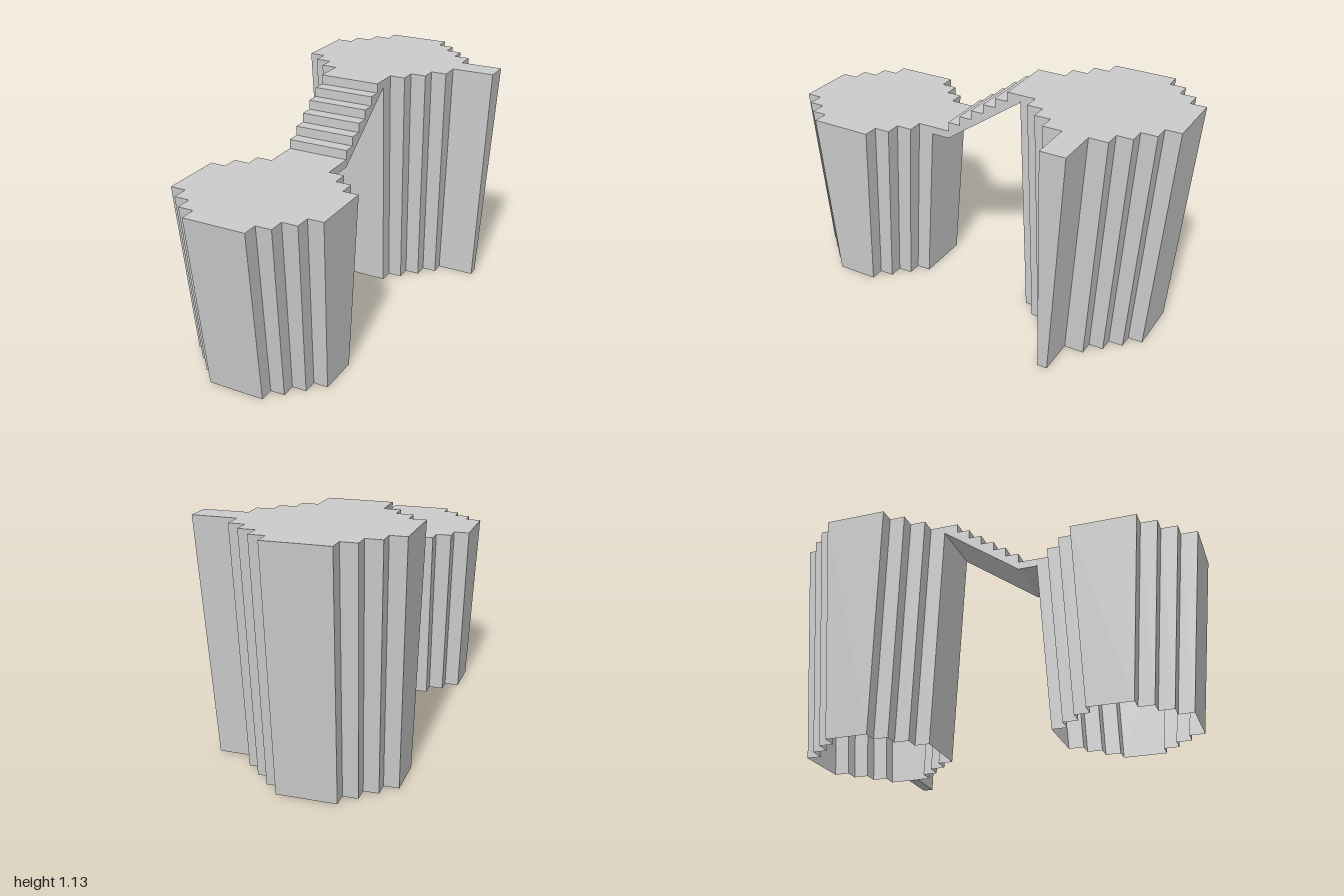
import * as THREE from 'three';

const material = new THREE.MeshStandardMaterial({ color: 0xcccccc, flatShading: true, side: THREE.DoubleSide });

// Edge positions of a stepped outline: a core span with three equal steps on each side
const spans = (center, half, step) =>
  [-3, -2, -1, 0].map(i => center - half + i * step)
    .concat([0, 1, 2, 3].map(i => center + half + i * step));

// Stepped round outline in x/z, from eight x edges and eight z edges
function steppedOutline(xs, zs) {
  const right = [], left = [];
  for (let row = 0; row < 7; row++) {
    const k = row <= 3 ? row : 6 - row;
    right.push([xs[4 + k], zs[row]], [xs[4 + k], zs[row + 1]]);
    left.push([xs[3 - k], zs[row]], [xs[3 - k], zs[row + 1]]);
  }
  return right.concat(left.reverse());
}

// Prism between a bottom outline at y = 0 and a matching top outline at y = height
function loft(name, bottom, top, height, closedBottom) {
  const positions = [];
  const b = i => positions.push(bottom[i][0], 0, bottom[i][1]);
  const t = i => positions.push(top[i][0], height, top[i][1]);
  for (let i = 0; i < top.length; i++) {
    const j = (i + 1) % top.length;
    b(i); t(i); t(j);
    b(i); t(j); b(j);
  }
  const faces = THREE.ShapeUtils.triangulateShape(top.map(p => new THREE.Vector2(p[0], p[1])), []);
  for (const [i, j, k] of faces) {
    t(i); t(k); t(j);
    if (closedBottom) { b(i); b(j); b(k); }
  }
  const geometry = new THREE.BufferGeometry();
  geometry.setAttribute('position', new THREE.Float32BufferAttribute(positions, 3));
  geometry.computeVertexNormals();
  const mesh = new THREE.Mesh(geometry, material);
  mesh.name = name;
  return mesh;
}

// Hollow tower with an open foot, tapering more in z than in x
function tower(name, side, height) {
  const bottom = steppedOutline(spans(-0.102, 0.138, 0.07), spans(side * 0.602, 0.102, 0.07));
  const top = steppedOutline(spans(-0.105, 0.152, 0.0765), spans(side * 0.618, 0.152, 0.0765));
  return loft(name, bottom, top, height, false);
}

const rect = (x0, x1, z0, z1) => [[x1, z0], [x1, z1], [x0, z1], [x0, z0]];

// Solid stair flight: stepped top, sloping underside
function stairs(low, high) {
  const count = 6, firstZ = 0.147, run = 0.0635, rise = (high - low) / count;
  const shape = new THREE.Shape();
  shape.moveTo(-0.238, low - 0.038);
  shape.lineTo(-firstZ, low - 0.038);
  shape.lineTo(0.238, high - 0.037);
  shape.lineTo(0.2365, high);
  for (let i = count - 1; i >= 0; i--) {
    const z = -firstZ + i * run;
    shape.lineTo(z, low + (i + 1) * rise);
    shape.lineTo(z, low + i * rise);
  }
  shape.lineTo(-0.2365, low);
  const geometry = new THREE.ExtrudeGeometry(shape, { depth: 0.304, bevelEnabled: false });
  // Turn the profile so that its width runs along x and it climbs toward the back
  geometry.rotateY(Math.PI / 2).translate(-0.257, 0, 0);
  const mesh = new THREE.Mesh(geometry, material);
  mesh.name = 'stairs';
  return mesh;
}

export function createModel() {
  const low = 0.855, high = 1.13;
  const model = new THREE.Group();
  model.name = 'linkedTowers';
  model.add(tower('lowTower', 1, low));
  model.add(tower('highTower', -1, high));
  // Narrow buttress on the left flank of the high tower
  model.add(loft('sideButtress',
    rect(0.246, 0.433, -0.61, -0.562),
    rect(0.276, 0.485, -0.68, -0.56), high, true));
  model.add(stairs(low, high));
  return model;
}
